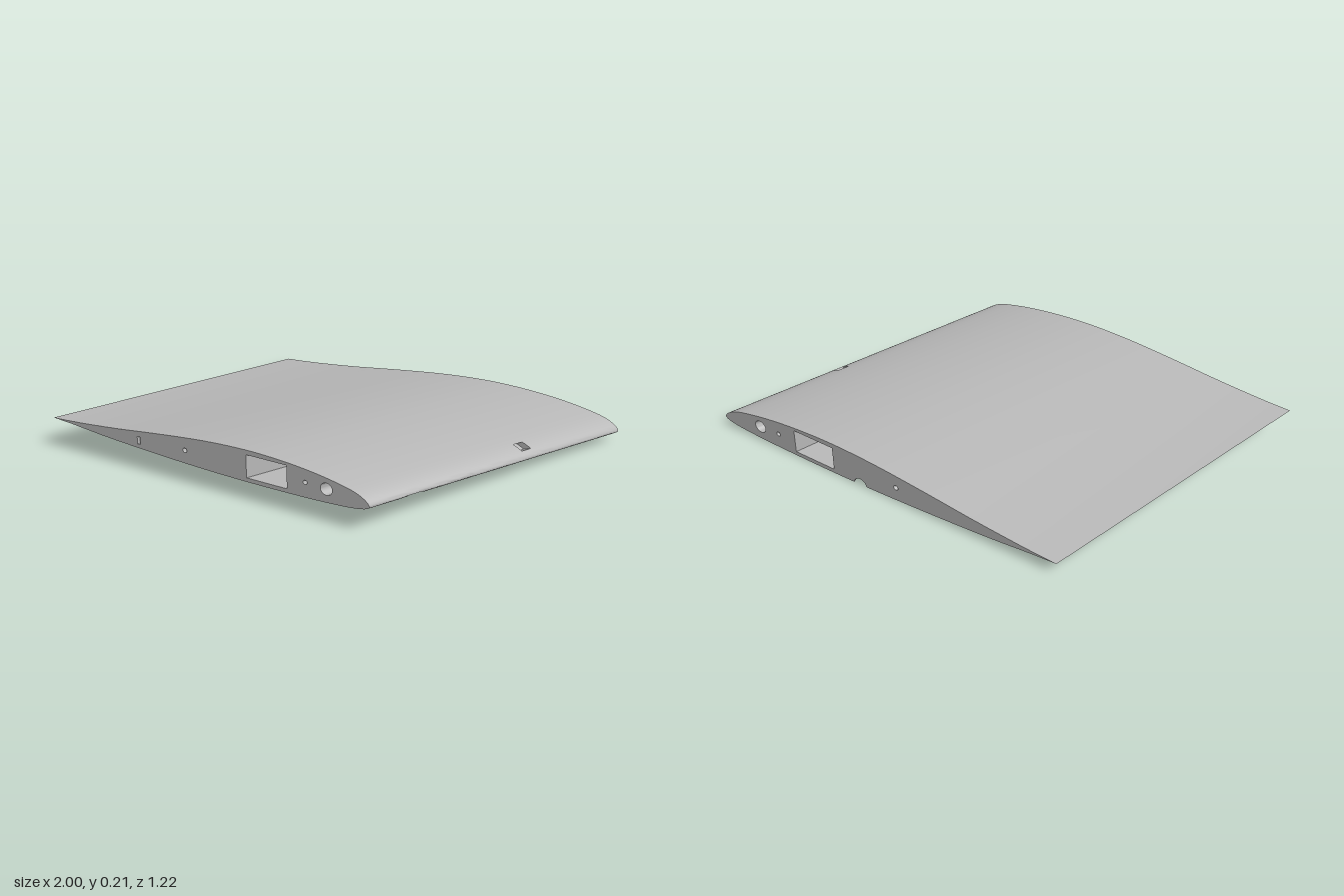
import * as THREE from 'three';
import { toCreasedNormals } from 'three/addons/utils/BufferGeometryUtils.js';

const SPAN = 0.61;
const curve = ys => new THREE.SplineCurve(ys.map((y, i) => new THREE.Vector2(i / 10, y)));
// Airfoil heights at evenly spaced square roots of the chord fraction, nose to tail
const upper = curve([.115, .136, .160, .179, .197, .211, .217, .209, .187, .158, .137]);
const lower = curve([.115, .104, .095, .089, .085, .083, .083, .087, .097, .113, .137]);

const noseX = t => 0.48 + 0.52 * t;
const chord = t => 1.48 + 0.145 * t;
const lerp = THREE.MathUtils.lerp;

// Place a section point (chord fraction u, root height y) at span fraction t
function place(u, y, t) {
  const tipY = 0.003 + (y - 0.083) * 1.11 + 0.01 - 0.02 * u;
  return new THREE.Vector3(noseX(t) - u * chord(t), lerp(y, tipY, t), SPAN - 2 * SPAN * t);
}
const skin = (c, s, t) => place(s * s, c.getPoint(s).y, t);

// Collects quads, leaving out collapsed triangles
class Surface {
  constructor() { this.pos = []; }
  tri(a, b, c) {
    const area = b.clone().sub(a).cross(c.clone().sub(a)).length();
    if (area > 1e-9) for (const p of [a, b, c]) this.pos.push(p.x, p.y, p.z);
  }
  quad(a, b, c, d) { this.tri(a, b, c); this.tri(a, c, d); }
  // Grid of points; cells where cut() is true sink to sink(p), with walls round them
  grid(pts, flip, cut, sink) {
    const q = (a, b, c, d) => flip ? this.quad(d, c, b, a) : this.quad(a, b, c, d);
    const isCut = (r, c) => r >= 0 && c >= 0 && r < pts.length - 1 && c < pts[0].length - 1 && cut(r, c);
    for (let r = 0; r < pts.length - 1; r++) for (let c = 0; c < pts[0].length - 1; c++) {
      const k = [pts[r][c], pts[r + 1][c], pts[r + 1][c + 1], pts[r][c + 1]];
      if (!isCut(r, c)) { q(...k); continue; }
      const f = k.map(sink);
      q(...f);
      [[r, c - 1], [r + 1, c], [r, c + 1], [r - 1, c]].forEach((n, i) => {
        const j = (i + 1) % 4;
        if (!isCut(...n)) q(k[i], k[j], f[j], f[i]);
      });
    }
  }
  geometry(crease) {
    const g = new THREE.BufferGeometry();
    g.setAttribute('position', new THREE.Float32BufferAttribute(this.pos, 3));
    return toCreasedNormals(g, crease);
  }
}

// Recess positions
const BAY = { x0: -0.12, x1: 0.09, z0: -0.175, z1: 0.058, top: 0.125 };
const NOTCH = { z0: -0.165, z1: -0.12 };
const GROOVE_R = 0.03;
const toT = z => (SPAN - z) / (2 * SPAN);
const rows = [...Array.from({ length: 65 }, (_, i) => i / 64),
  ...[BAY.z0, BAY.z1, NOTCH.z0, NOTCH.z1].map(toT)].sort((a, b) => a - b);

const upperRow = t => Array.from({ length: 41 }, (_, i) => skin(upper, i / 40, t));

// Lower skin row: nose, cable groove, middle, equipment bay, tail
const segs = [16, 10, 16, 6, 12];
const cellSegment = segs.flatMap((n, i) => Array(n).fill(i));
function lowerRow(t) {
  const gx = 0.614 - 0.329 * t, gy = 0.092 - 0.087 * t;
  const sAt = x => Math.sqrt(Math.max(0, (noseX(t) - x) / chord(t)));
  const stops = [0, sAt(gx + GROOVE_R), sAt(gx - GROOVE_R), sAt(BAY.x1), sAt(BAY.x0), 1];
  const row = [];
  segs.forEach((n, i) => {
    for (let k = 0; k < n + (i === 4 ? 1 : 0); k++) {
      const f = i === 1 ? (1 - Math.cos(Math.PI * k / n)) / 2 : k / n;
      const s = lerp(stops[i], stops[i + 1], f);
      const p = skin(lower, s, t);
      if (i === 1) {
        const d = p.x - gx;
        const roof = gy + Math.sqrt(Math.max(0, GROOVE_R ** 2 - d * d));
        p.y = Math.min(skin(upper, s, t).y, Math.max(p.y, roof));
      }
      row.push(p);
    }
  });
  return row;
}

// Holes as loops of [chord fraction, root height]
const toU = x => (0.48 - x) / 1.48;
const round = (x, y, r, n = 24) => Array.from({ length: n }, (_, i) => {
  const a = i / n * Math.PI * 2;
  return [toU(x + r * Math.cos(a)), y + r * Math.sin(a)];
});
const rect = (x0, y0, x1, y1) => [[x0, y0], [x1, y0], [x1, y1], [x0, y1]].map(([x, y]) => [toU(x), y]);
const tunnels = [
  { name: 'sparTunnel', loop: rect(-0.05, 0.10, 0.13, 0.197), end: 1, gap: [0.53, 0.88] },
  { name: 'frontTubeTunnel', loop: round(0.30, 0.142, 0.025), end: 1 },
  { name: 'frontPinTunnel', loop: round(0.21, 0.147, 0.009, 12), end: 1 },
  { name: 'rearPinTunnel', loop: round(-0.335, 0.147, 0.01, 12), end: 1 },
  { name: 'rearSlot', loop: rect(-0.567, 0.12, -0.553, 0.152), end: 0.08 },
];

// Flat end of the wing with its openings
function endCap(t) {
  const outline = [...upperRow(t), ...lowerRow(t).reverse()]
    .filter((p, i, a) => p.distanceTo(a[(i + 1) % a.length]) > 1e-6)
    .map(p => new THREE.Vector2(p.x, p.y));
  const shape = new THREE.Shape(outline);
  for (const h of tunnels) if (t <= h.end) {
    shape.holes.push(new THREE.Path(h.loop.map(([u, y]) => {
      const p = place(u, y, t);
      return new THREE.Vector2(p.x, p.y);
    })));
  }
  return new THREE.ShapeGeometry(shape).translate(0, 0, SPAN - 2 * SPAN * t);
}

export function createModel() {
  const group = new THREE.Group();
  const foam = new THREE.MeshStandardMaterial({ color: 0xb8b8b8, side: THREE.DoubleSide });
  foam.name = 'light grey foam';
  const add = (name, geometry) => {
    const mesh = new THREE.Mesh(geometry, foam);
    mesh.name = name;
    group.add(mesh);
  };
  const midZ = r => SPAN - SPAN * (rows[r] + rows[r + 1]);
  const within = (z, b) => z > b.z0 && z < b.z1;

  // Outer skin with nose notch, groove and bay
  const body = new Surface();
  body.grid(rows.map(upperRow), true,
    (r, c) => c >= 5 && c < 8 && within(midZ(r), NOTCH),
    p => new THREE.Vector3(p.x - 0.03, p.y - 0.01, p.z));
  body.grid(rows.map(lowerRow), false,
    (r, c) => cellSegment[c] === 3 && within(midZ(r), BAY),
    p => new THREE.Vector3(p.x, BAY.top, p.z));
  add('wingSkin', body.geometry(0.8));

  add('frontEndCap', endCap(0));
  add('backEndCap', endCap(1));

  // Tunnels running through the span
  for (const { name, loop, end, gap } of tunnels) {
    const walls = new Surface();
    const stops = gap ? [0, ...gap, end] : [0, end];
    for (let k = 0; k < stops.length - 1; k++) {
      loop.forEach((a, i) => {
        if (gap && k === 1 && i === 0) return; // floor opens where the groove crosses
        const b = loop[(i + 1) % loop.length];
        walls.quad(place(...a, stops[k]), place(...a, stops[k + 1]),
          place(...b, stops[k + 1]), place(...b, stops[k]));
      });
    }
    add(name, walls.geometry(0.7));
  }
  return group;
}
